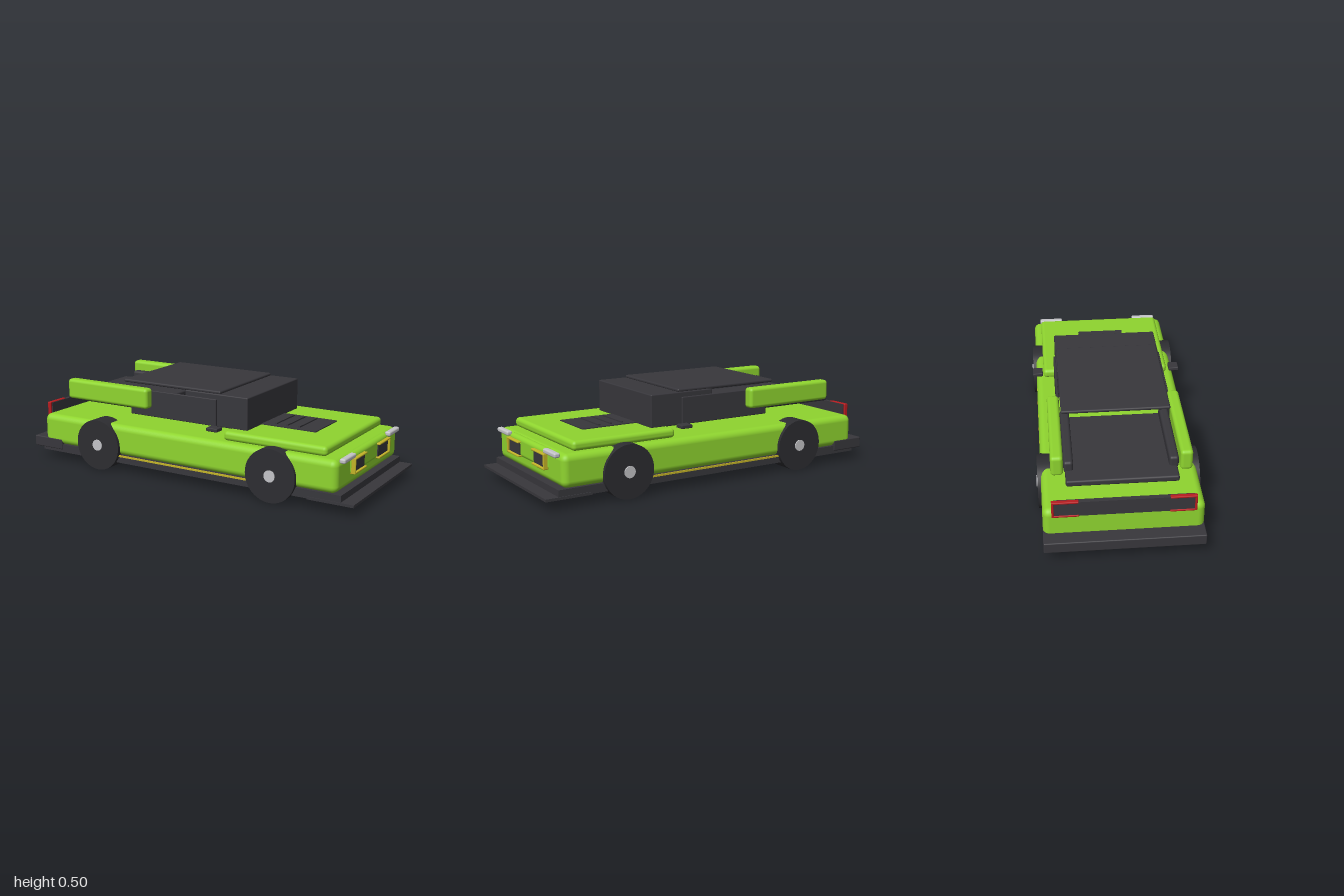
import * as THREE from 'three';
import { RoundedBoxGeometry } from 'three/addons/geometries/RoundedBoxGeometry.js';

const paint = (name, color) => {
  const m = new THREE.MeshStandardMaterial({ color });
  m.name = name;
  return m;
};

export function createModel() {
  const car = new THREE.Group();
  car.name = 'car';
  const lime = paint('lime', 0x8fd52f);
  const dark = paint('charcoal', 0x38373c);
  const tyre = paint('tyre', 0x2d2d31);
  const gold = paint('gold', 0xc4b428);
  const silver = paint('silver', 0xc4c4c8);
  const red = paint('red', 0xb81c20);

  // Box given by its limits on each axis; r rounds the edges
  const box = (name, mat, [x0, x1], [y0, y1], [z0, z1], r = 0) => {
    const size = [x1 - x0, y1 - y0, z1 - z0];
    const geo = r ? new RoundedBoxGeometry(...size, 4, r) : new THREE.BoxGeometry(...size);
    const mesh = new THREE.Mesh(geo, mat);
    mesh.name = name;
    mesh.position.set((x0 + x1) / 2, (y0 + y1) / 2, (z0 + z1) / 2);
    car.add(mesh);
    return mesh;
  };
  // The same box on both sides of the car
  const pair = (name, mat, x, y, [z0, z1], r) => {
    box(name + 'Near', mat, x, y, [z0, z1], r);
    box(name + 'Far', mat, x, y, [-z1, -z0], r);
  };

  // Lower body and floor
  box('body', lime, [-0.925, 0.905], [0.098, 0.268], [-0.396, 0.396], 0.035);
  box('floor', dark, [-0.94, 0.93], [0.055, 0.1], [-0.392, 0.392]);
  box('splitter', dark, [0.75, 1], [0.052, 0.066], [-0.397, 0.397]);
  box('rearBumper', dark, [-1, -0.8], [0.07, 0.13], [-0.397, 0.397], 0.006);
  pair('sillStripe', gold, [-0.42, 0.45], [0.09, 0.1], [0.391, 0.398]);

  // Hood with slatted vent
  box('hood', lime, [0.245, 0.83], [0.268, 0.318], [-0.355, 0.355], 0.02);
  box('hoodVent', dark, [0.34, 0.665], [0.31, 0.323], [-0.132, 0.132]);
  for (const x of [0.42, 0.485, 0.555]) {
    box('ventSlat', dark, [x - 0.006, x + 0.006], [0.32, 0.33], [-0.105, 0.105]);
  }

  // Cabin
  box('windshield', dark, [-0.03, 0.35], [0.315, 0.49], [-0.286, 0.286], 0.006);
  box('roof', dark, [-0.437, 0.183], [0.487, 0.505], [-0.28, 0.28], 0.008);
  pair('sideWindow', dark, [-0.38, 0.167], [0.318, 0.463], [0.284, 0.297], 0.004);
  box('console', silver, [-0.05, 0.035], [0.26, 0.46], [-0.05, 0.05]);
  const column = box('steeringColumn', dark, [0.03, 0.12], [0.288, 0.302], [0.13, 0.15]);
  column.rotation.z = 0.85;
  pair('mirror', dark, [0.18, 0.245], [0.323, 0.342], [0.36, 0.415], 0.004);

  // Rear deck and shoulders
  box('rearDeck', dark, [-0.84, -0.3], [0.343, 0.376], [-0.276, 0.276], 0.01);
  pair('deckRail', dark, [-0.755, -0.3], [0.36, 0.425], [0.235, 0.283], 0.015);
  pair('shoulder', lime, [-0.783, -0.24], [0.366, 0.477], [0.285, 0.347], 0.018);

  // Nose panel, lamps and lamp brackets
  box('nosePanel', lime, [0.87, 0.915], [0.158, 0.266], [-0.24, 0.24], 0.022);
  pair('headlamp', silver, [0.9, 0.932], [0.249, 0.274], [0.222, 0.36], 0.009);
  pair('grille', dark, [0.9, 0.921], [0.17, 0.238], [0.09, 0.222]);
  pair('grilleTop', gold, [0.9, 0.933], [0.236, 0.246], [0.083, 0.232], 0.004);
  pair('grilleBottom', gold, [0.9, 0.933], [0.163, 0.173], [0.083, 0.232], 0.004);
  pair('grilleSide', gold, [0.9, 0.933], [0.163, 0.246], [0.222, 0.232], 0.004);

  // Tail panel with red bracket lamps
  box('tailPanel', dark, [-0.93, -0.906], [0.238, 0.322], [-0.342, 0.342]);
  pair('tailLampTop', red, [-0.934, -0.912], [0.315, 0.326], [0.22, 0.352], 0.004);
  pair('tailLampBottom', red, [-0.934, -0.912], [0.234, 0.245], [0.22, 0.352], 0.004);
  pair('tailLampSide', red, [-0.934, -0.912], [0.234, 0.326], [0.34, 0.352], 0.004);

  // Wheels with hubs
  const wheelGeo = new THREE.CylinderGeometry(0.141, 0.141, 0.108, 48).rotateX(Math.PI / 2);
  const hubGeo = new THREE.CylinderGeometry(0.031, 0.031, 0.03, 24).rotateX(Math.PI / 2);
  for (const x of [-0.53, 0.55]) {
    for (const side of [-1, 1]) {
      const wheel = new THREE.Group();
      wheel.name = 'wheel';
      const tread = new THREE.Mesh(wheelGeo, tyre);
      tread.name = 'tyre';
      const hub = new THREE.Mesh(hubGeo, silver);
      hub.name = 'hub';
      hub.position.z = side * 0.045;
      wheel.add(tread, hub);
      wheel.position.set(x, 0.142, side * 0.359);
      car.add(wheel);
    }
  }
  return car;
}
